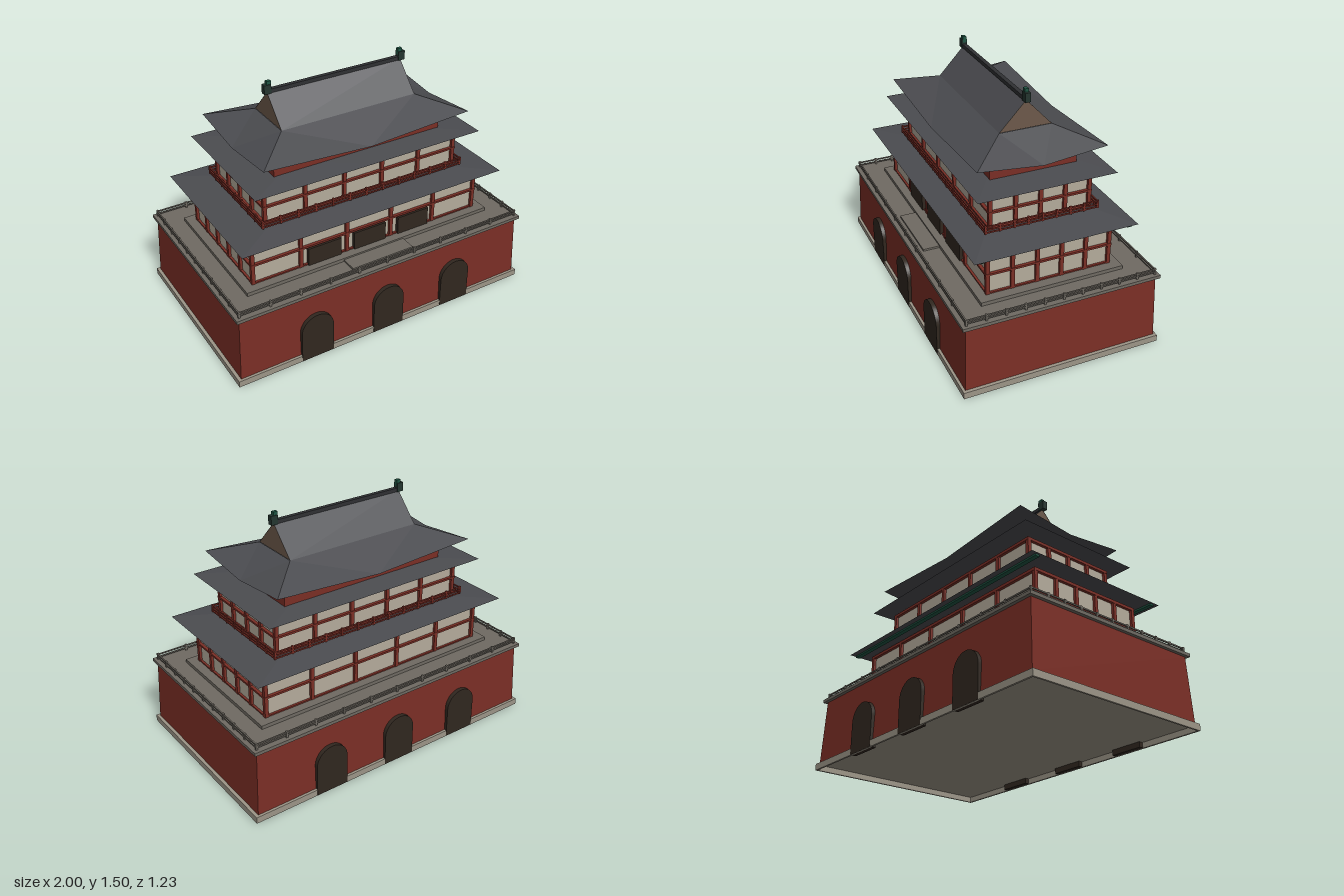
import * as THREE from 'three';

const mat = (color, double) => new THREE.MeshStandardMaterial({
  color, side: double ? THREE.DoubleSide : THREE.FrontSide });
const RED = mat(0x7a2e25), PLASTER = mat(0xb4ab9b), STONE = mat(0x9c9587), PAVING = mat(0x6f6a62);
const WOOD = mat(0x30271f), GREEN = mat(0x1f5543), RIDGE = mat(0x2f3033), BRONZE = mat(0x24352f);
const TILE = mat(0x4b4c50, true), GABLE = mat(0x6c594a, true);

function add(parent, name, geometry, material, x = 0, y = 0, z = 0) {
  const mesh = new THREE.Mesh(geometry, material);
  mesh.name = name;
  mesh.position.set(x, y, z);
  parent.add(mesh);
  return mesh;
}

// Box given by its centre x/z, its bottom and top heights, and its widths
const box = (parent, name, material, w, y0, y1, d, x = 0, z = 0) =>
  add(parent, name, new THREE.BoxGeometry(w, y1 - y0, d), material, x, (y0 + y1) / 2, z);

function group(parent, name) {
  const g = new THREE.Group();
  g.name = name;
  parent.add(g);
  return g;
}

// Flat-shaded surface from a list of triangle corner points
function surface(parent, name, points, material) {
  const g = new THREE.BufferGeometry().setFromPoints(points);
  g.computeVertexNormals();
  return add(parent, name, g, material);
}

// Evenly spaced posts around a rectangle: nx bays in front, nz bays at the sides
function perimeter(hx, hz, nx, nz, place) {
  for (let i = 0; i <= nx; i++)
    for (const s of [-1, 1]) place(-hx + 2 * hx * i / nx, s * hz);
  for (let i = 1; i < nz; i++)
    for (const s of [-1, 1]) place(s * hx, -hz + 2 * hz * i / nz);
}

// Rectangular frame of four horizontal bars
function bars(parent, name, material, hx, hz, y, h, t) {
  for (const s of [-1, 1]) {
    box(parent, name, material, 2 * hx + t, y - h / 2, y + h / 2, t, 0, s * hz);
    box(parent, name, material, t, y - h / 2, y + h / 2, 2 * hz - t, s * hx, 0);
  }
}

function railing(parent, name, material, hx, hz, y0, y1, nx, nz, railHeights) {
  const g = group(parent, name);
  perimeter(hx, hz, nx, nz, (x, z) => box(g, 'railPost', material, 0.012, y0, y1, 0.012, x, z));
  for (const y of railHeights) bars(g, 'rail', material, hx, hz, y, 0.008, 0.008);
}

// Plaster hall framed by columns and beams
function storey(parent, name, hx, hz, y0, y1, nx, nz, midY) {
  const g = group(parent, name);
  box(g, 'plasterWall', PLASTER, 2 * hx - 0.01, y0, y1 - 0.005, 2 * hz - 0.01);
  perimeter(hx, hz, nx, nz, (x, z) => box(g, 'column', RED, 0.023, y0, y1, 0.023, x, z));
  bars(g, 'topBeam', RED, hx, hz, y1 - 0.009, 0.018, 0.025);
  bars(g, 'middleBeam', RED, hx, hz, midY, 0.012, 0.028);
  bars(g, 'sillBeam', RED, hx, hz, y0 + 0.005, 0.01, 0.018);
}

// Hipped skirt roof with a fan-shaped soffit; eaves may dip at mid-side
function skirtRoof(parent, name, ox, oz, cornerY, midY, ix, iz, topY) {
  const V = (x, y, z) => new THREE.Vector3(x, y, z);
  const signs = [[-1, 1], [1, 1], [1, -1], [-1, -1]];
  const centre = V(0, midY, 0);
  const slopes = [], soffit = [];
  signs.forEach(([ax, az], i) => {
    const [bx, bz] = signs[(i + 1) % 4];
    const a = V(ax * ox, cornerY, az * oz), b = V(bx * ox, cornerY, bz * oz);
    const m = V((a.x + b.x) / 2, midY, (a.z + b.z) / 2);
    const p = V(ax * ix, topY, az * iz), q = V(bx * ix, topY, bz * iz);
    slopes.push(a, m, p, m, q, p, m, b, q);
    soffit.push(m, a, centre, b, m, centre);
  });
  surface(parent, name, slopes, TILE);
  surface(parent, name + 'Soffit', soffit, TILE);
}

// Arched gate panel
function gateGeometry(r, spring, depth) {
  const s = new THREE.Shape();
  s.moveTo(-r, 0);
  s.lineTo(r, 0);
  s.lineTo(r, spring);
  s.absarc(0, spring, r, 0, Math.PI, false);
  s.closePath();
  return new THREE.ExtrudeGeometry(s, { depth, bevelEnabled: false, curveSegments: 20 });
}

export function createModel() {
  const model = new THREE.Group();
  model.name = 'gateTower';

  // Plinth, hollow underneath
  const base = group(model, 'base');
  bars(base, 'plinthRim', STONE, 0.994, 0.607, 0.02, 0.04, 0.012);
  box(base, 'plinthPlate', STONE, 1.976, 0.034, 0.04, 1.202);

  // Battered masonry wall
  const wall = new THREE.BoxGeometry(1.96, 0.4, 1.194);
  const p = wall.attributes.position;
  for (let i = 0; i < p.count; i++)
    if (p.getY(i) > 0) p.setXYZ(i, p.getX(i) * 0.984, p.getY(i), p.getZ(i) * 0.978);
  wall.computeVertexNormals();
  add(base, 'batteredWall', wall, RED, 0, 0.24, 0);
  box(base, 'terraceSlab', PAVING, 1.97, 0.44, 0.46, 1.21);

  // Arched gates, front and back
  const gate = gateGeometry(0.105, 0.195, 0.04);
  for (const x of [-0.49, 0, 0.49])
    for (const s of [-1, 1]) {
      const g = add(base, 'archedGate', gate, WOOD, x, 0.001, s * 0.574);
      if (s < 0) g.rotation.y = Math.PI;
    }

  // Terrace: railing, hall platform and front step
  railing(model, 'terraceRailing', PAVING, 0.96, 0.578, 0.46, 0.5, 10, 10, [0.475, 0.492]);
  box(model, 'hallPlatform', PAVING, 1.68, 0.46, 0.482, 0.88);
  box(model, 'frontStep', PAVING, 0.42, 0.46, 0.472, 0.11, 0, 0.485);

  // Lower hall with its front doors
  storey(model, 'lowerHall', 0.772, 0.376, 0.48, 0.752, 5, 5, 0.61);
  for (const x of [-0.31, 0, 0.31])
    box(model, 'hallDoor', WOOD, 0.22, 0.48, 0.597, 0.03, x, 0.38);

  // Lower roof with painted eave beams
  skirtRoof(model, 'lowerRoof', 0.882, 0.494, 0.769, 0.769, 0.46, 0.2, 0.802);
  for (const s of [-1, 1])
    box(model, 'eaveBeam', GREEN, 1.74, 0.757, 0.768, 0.028, 0, s * 0.445);

  // Upper hall with balcony railing
  storey(model, 'upperHall', 0.645, 0.303, 0.805, 1.026, 5, 4, 0.912);
  railing(model, 'balconyRailing', RED, 0.68, 0.345, 0.803, 0.853, 12, 8, [0.809, 0.826, 0.845]);

  // Middle roof and the attic wall above it
  skirtRoof(model, 'middleRoof', 0.752, 0.418, 1.047, 1.047, 0.39, 0.17, 1.065);
  box(model, 'atticWall', RED, 1.115, 1.047, 1.147, 0.53);

  // Top roof: flared skirt below, gabled prism above
  const top = group(model, 'topRoof');
  skirtRoof(top, 'flaredEaves', 0.68, 0.39, 1.188, 1.147, 0.447, 0.16, 1.265);
  for (const s of [-1, 1]) {
    const a = new THREE.Vector3(-s * 0.447, 1.265, s * 0.16), b = new THREE.Vector3(s * 0.447, 1.265, s * 0.16);
    const c = new THREE.Vector3(s * 0.447, 1.435, 0), d = new THREE.Vector3(-s * 0.447, 1.435, 0);
    surface(top, 'gableSlope', [a, b, c, a, c, d], TILE);
    const e = new THREE.Vector3(s * 0.445, 1.265, -s * 0.16);
    surface(top, 'gableEnd', [b.clone().setX(s * 0.445), e, c.clone().setX(s * 0.445)], GABLE);
  }

  // Ridge with its end ornaments
  box(top, 'ridge', RIDGE, 0.93, 1.43, 1.453, 0.026);
  for (const s of [-1, 1]) {
    box(top, 'ridgeEnd', BRONZE, 0.044, 1.428, 1.483, 0.032, s * 0.448);
    box(top, 'ridgeFinial', GREEN, 0.028, 1.465, 1.503, 0.022, s * 0.438);
  }
  return model;
}
